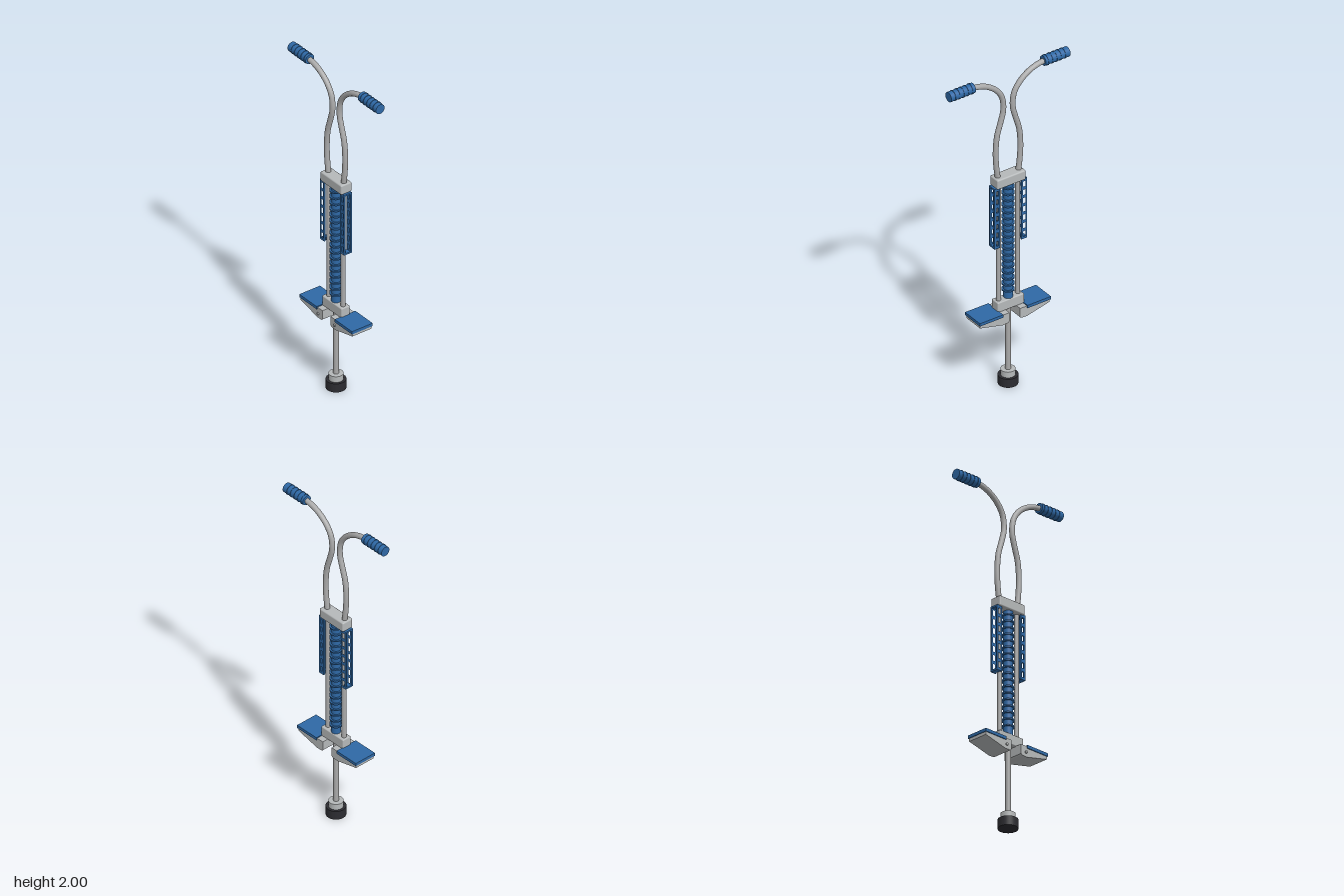
import * as THREE from 'three';
import { RoundedBoxGeometry } from 'three/addons/geometries/RoundedBoxGeometry.js';

const material = (name, color) => {
  const m = new THREE.MeshStandardMaterial({ color });
  m.name = name;
  return m;
};

export function createModel() {
  const blue = material('blue plastic', 0x2f69a6);
  const silver = material('light grey', 0xb6b9ba);
  const steel = material('steel tube', 0xaaaaaa);
  const rubber = material('black rubber', 0x2c2c31);
  const model = new THREE.Group();
  model.name = 'pogoStick';

  const add = (name, geometry, mat, x = 0, y = 0, z = 0, parent = model) => {
    const mesh = new THREE.Mesh(geometry, mat);
    mesh.name = name;
    mesh.position.set(x, y, z);
    parent.add(mesh);
    return mesh;
  };
  // Upright cylinder between two heights
  const post = (name, r, y0, y1, mat, x = 0) =>
    add(name, new THREE.CylinderGeometry(r, r, y1 - y0, 32), mat, x, (y0 + y1) / 2);
  // Polygon in the xy plane, extruded evenly about z = 0
  const slab = (points, depth, holes = []) => {
    const shape = new THREE.Shape(points.map(p => new THREE.Vector2(...p)));
    shape.holes = holes.map(h => new THREE.Path(h.map(p => new THREE.Vector2(...p))));
    return new THREE.ExtrudeGeometry(shape, { depth, bevelEnabled: false }).translate(0, 0, -depth / 2);
  };
  const rect = (x0, y0, x1, y1) => [[x0, y0], [x1, y0], [x1, y1], [x0, y1]];

  // Foot and plunger
  post('rubberFoot', 0.056, 0, 0.054, rubber);
  post('footCollar', 0.041, 0.052, 0.09, silver);
  post('plungerShaft', 0.015, 0.08, 0.5, steel);

  // Cross blocks
  add('lowerBlock', new RoundedBoxGeometry(0.174, 0.062, 0.058, 3, 0.006), silver, 0, 0.52);
  add('upperBlock', new RoundedBoxGeometry(0.187, 0.06, 0.072, 3, 0.008), silver, 0, 1.31);

  // Ribbed spring cover
  post('springCover', 0.026, 0.55, 1.281, blue);
  for (let i = 0; i < 18; i++) {
    const y = 0.6 + i * 0.0385;
    post('springRib', 0.036, y - 0.004, y + 0.004, blue);
  }

  for (const s of [-1, 1]) {
    const side = s > 0 ? 'left' : 'right';
    const flip = points => points.map(([x, y]) => [s * x, y]);

    post(side + 'FramePole', 0.0135, 0.54, 1.29, steel, s * 0.063);

    // Curved handlebar
    const path = new THREE.CatmullRomCurve3([
      [0.067, 1.33], [0.077, 1.41], [0.081, 1.5], [0.072, 1.6], [0.049, 1.68], [0.033, 1.74],
      [0.031, 1.79], [0.043, 1.845], [0.082, 1.9], [0.14, 1.942], [0.195, 1.962], [0.24, 1.968],
    ].map(([x, y]) => new THREE.Vector3(s * x, y, 0)));
    add(side + 'Handlebar', new THREE.TubeGeometry(path, 90, 0.0155, 20), steel);

    // Ringed grip
    const grip = new THREE.Group();
    grip.name = side + 'Grip';
    model.add(grip);
    const disc = (name, r, x0, x1) => add(name,
      new THREE.CylinderGeometry(r, r, x1 - x0, 32).rotateZ(Math.PI / 2),
      blue, s * (x0 + x1) / 2, 1.969, 0, grip);
    disc('gripSleeve', 0.029, 0.23, 0.39);
    for (const x of [0.248, 0.276, 0.304, 0.332, 0.36]) disc('gripRing', 0.0315, x - 0.003, x + 0.003);

    // Ladder-shaped guard: front and back plates joined at the ends
    const guard = new THREE.Group();
    guard.name = side + 'Guard';
    model.add(guard);
    const holes = [];
    for (let i = 0; i < 7; i++) {
      const y = 0.915 + i * 0.053;
      holes.push(flip(rect(0.081, y, 0.095, y + 0.033)));
    }
    const plate = slab(flip(rect(0.07, 0.9, 0.106, 1.284)), 0.01, holes);
    for (const z of [-0.021, 0.021]) add('guardPlate', plate, blue, 0, 0, z, guard);
    for (const y of [0.905, 1.279])
      add('guardEnd', new THREE.BoxGeometry(0.03, 0.01, 0.034), blue, s * 0.091, y, 0, guard);

    // Pedal: tapered bracket, tread and hinge pin
    const pedal = new THREE.Group();
    pedal.name = side + 'Pedal';
    model.add(pedal);
    add('pedalBracket', slab(flip([
      [0.035, 0.492], [0.035, 0.436], [0.043, 0.43], [0.08, 0.428],
      [0.228, 0.463], [0.228, 0.481], [0.08, 0.481], [0.08, 0.492],
    ]), 0.128), silver, 0, 0, 0, pedal);
    add('pedalTread', new THREE.BoxGeometry(0.153, 0.018, 0.139), blue, s * 0.156, 0.489, 0, pedal);
    add('hingePin', new THREE.CylinderGeometry(0.008, 0.008, 0.008, 16).rotateX(Math.PI / 2),
      silver, s * 0.072, 0.455, 0.067, pedal);
  }
  return model;
}
